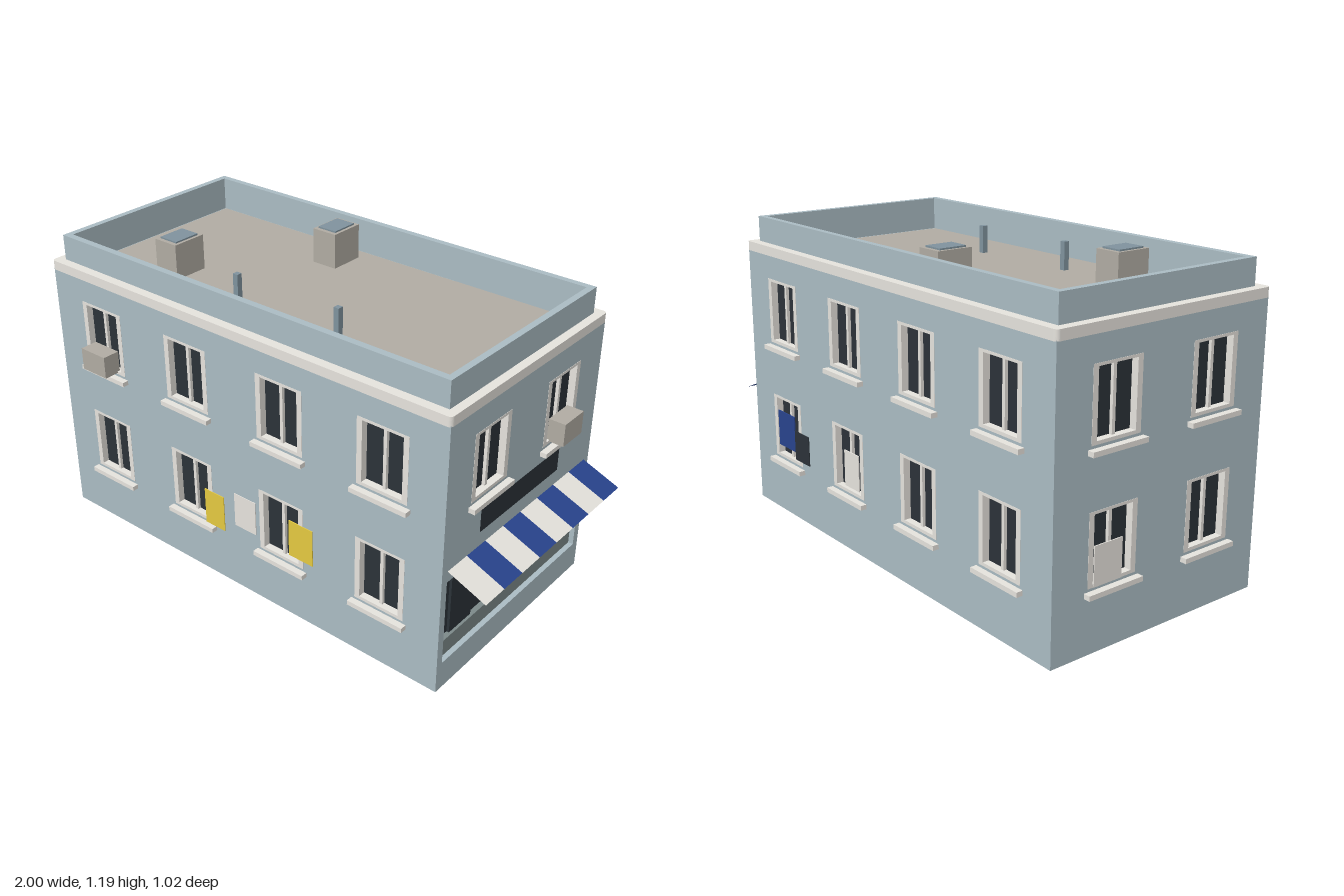
import * as THREE from 'three';

export function createModel() {
  const root = new THREE.Group();
  root.name = 'building';
  const mat = (name, color, side = THREE.FrontSide) => {
    const m = new THREE.MeshStandardMaterial({ color, side });
    m.name = name;
    return m;
  };
  const wall = mat('blue grey wall', 0xaabbc2);
  const cream = mat('cream trim', 0xe5e2dc, THREE.DoubleSide);
  const stone = mat('warm grey', 0xb0aba2);
  const glass = mat('dark glass', 0x2b3238);
  const blue = mat('awning blue', 0x28438c, THREE.DoubleSide);
  const yellow = mat('sign yellow', 0xe3c840);
  const slate = mat('vent slate', 0x7f929d);
  const plinth = mat('plinth grey', 0x7c8989);

  const add = (parent, name, geo, material) => {
    const m = new THREE.Mesh(geo, material);
    m.name = name;
    parent.add(m);
    return m;
  };
  // box given by its limits on each axis
  const box = (parent, name, material, x0, x1, y0, y1, z0, z1) => {
    const m = add(parent, name, new THREE.BoxGeometry(x1 - x0, y1 - y0, z1 - z0), material);
    m.position.set((x0 + x1) / 2, (y0 + y1) / 2, (z0 + z1) / 2);
    return m;
  };
  const rect = (Type, x0, x1, y0, y1, r = 0) => {
    const p = new Type();
    if (r === 0) {
      p.moveTo(x0, y0).lineTo(x1, y0).lineTo(x1, y1).lineTo(x0, y1).closePath();
    } else {
      p.absarc(x1 - r, y0 + r, r, -Math.PI / 2, 0);
      p.absarc(x1 - r, y1 - r, r, 0, Math.PI / 2);
      p.absarc(x0 + r, y1 - r, r, Math.PI / 2, Math.PI);
      p.absarc(x0 + r, y0 + r, r, Math.PI, Math.PI * 1.5);
    }
    return p;
  };
  const extrude = (shape, depth) =>
    new THREE.ExtrudeGeometry(shape, { depth, bevelEnabled: false, curveSegments: 4 });

  const X0 = -0.975, X1 = 0.85, Z0 = -0.482, Z1 = 0.448, T = 0.06, TOP = 1.05;
  const floors = [0.23, 0.70];
  const W = 0.207, H = 0.255;

  // recessed window with frame, mullion and sill, lower edge at y
  function addWindow(face, x, y) {
    const g = new THREE.Group();
    g.name = 'window';
    g.position.set(x, y, 0);
    face.add(g);
    const frame = rect(THREE.Shape, -W / 2, W / 2, 0, H);
    frame.holes.push(rect(THREE.Path, -0.082, 0.082, 0.012, H - 0.01));
    add(g, 'windowFrame', extrude(frame, 0.035), cream).position.z = -0.034;
    box(g, 'windowGlass', glass, -0.09, 0.09, 0.006, H - 0.006, -0.034, -0.026);
    box(g, 'windowMullion', cream, -0.0065, 0.0065, 0.01, H - 0.01, -0.027, -0.014);
    box(g, 'windowSill', cream, -0.117, 0.117, -0.028, -0.01, -0.01, 0.025);
  }

  // one outer wall; local x runs across it and local z points outwards
  function addFace(name, pos, rot, x0, x1, windows, opening) {
    const g = new THREE.Group();
    g.name = name;
    g.position.set(...pos);
    g.rotation.y = rot;
    root.add(g);
    const shape = rect(THREE.Shape, x0, x1, 0, TOP);
    for (const [x, y] of windows) {
      shape.holes.push(rect(THREE.Path, x - W / 2, x + W / 2, y, y + H));
      addWindow(g, x, y);
    }
    if (opening) shape.holes.push(rect(THREE.Path, ...opening));
    add(g, name + 'Panel', extrude(shape, T), wall).position.z = -T;
    return g;
  }
  const grid = (xs, ys) => xs.flatMap((x) => ys.map((y) => [x, y]));
  const long = [-0.724, -0.285, 0.159, 0.599];
  const short = [0.203, -0.231];
  const flip = (a) => a.map((v) => -v);

  const front = addFace('frontWall', [0, 0, Z1], 0, X0 + T, X1 - T, grid(long, floors));
  const back = addFace('backWall', [0, 0, Z0], Math.PI, -X1 + T, -X0 - T, grid(flip(long), floors));
  const left = addFace('shopWall', [X1, 0, 0], Math.PI / 2, -Z1, -Z0,
    grid(flip(short), [floors[1]]), [-0.418, 0.45, 0.11, 0.45]);
  const right = addFace('plainEndWall', [X0, 0, 0], -Math.PI / 2, Z0, Z1, grid(short, floors));

  // wall-mounted cooling units
  box(front, 'coolingUnit', stone, -0.787, -0.661, 0.705, 0.792, -0.01, 0.06);
  box(left, 'coolingUnit', stone, 0.17, 0.292, 0.705, 0.792, -0.01, 0.055);

  // thin sign plates
  const plate = (face, m, x0, x1, y0, y1, depth = 0.003) =>
    box(face, 'signPlate', m, x0, x1, y0, y1, depth - 0.004, depth);
  plate(front, yellow, -0.22, -0.123, 0.22, 0.37);
  plate(front, yellow, 0.197, 0.307, 0.265, 0.415);
  plate(front, cream, -0.067, 0.037, 0.275, 0.415);
  plate(back, blue, -0.67, -0.545, 0.28, 0.425);
  plate(back, glass, -0.545, -0.44, 0.25, 0.37);
  plate(back, cream, -0.18, -0.085, 0.255, 0.395);
  plate(right, cream, -0.31, -0.19, 0.23, 0.37);
  plate(left, glass, -0.24, 0.25, 0.55, 0.64, 0.0002);

  // shop front
  box(left, 'shopGlass', glass, -0.41, 0.437, 0.17, 0.45, -0.055, -0.04);
  box(left, 'shopDoor', glass, -0.34, -0.212, 0.175, 0.41, -0.042, -0.03);
  box(left, 'shopPlinth', plinth, -0.418, 0.45, 0.11, 0.175, -0.055, -0.02);
  for (const [a, b] of [[-0.418, -0.41], [0.437, 0.45]])
    box(left, 'shopJamb', wall, a, b, 0.175, 0.45, -0.055, -0.015);

  // striped awning, sloping outwards
  const step = 0.868 / 8;
  const slope = Math.atan2(0.06, 0.15);
  for (let i = 0; i < 8; i++) {
    const geo = new THREE.PlaneGeometry(step, Math.hypot(0.15, 0.06));
    geo.rotateX(-Math.PI / 2 + slope);
    add(left, 'awningStripe', geo, i % 2 ? blue : cream)
      .position.set(-0.418 + step * (i + 0.5), 0.465, 0.075);
  }

  // cornice and parapet rings, extruded upwards
  function ring(name, material, outer, inner, y0, y1, r) {
    const s = rect(THREE.Shape, ...outer, r);
    s.holes.push(rect(THREE.Path, ...inner));
    const geo = extrude(s, y1 - y0);
    geo.rotateX(-Math.PI / 2);
    add(root, name, geo, material).position.y = y0;
  }
  // limits are x0, x1, -z front, -z back
  ring('cornice', cream, [-0.979, 0.853, -0.452, 0.486], [-0.93, 0.805, -0.397, 0.433], 1.046, 1.082, 0.015);
  ring('parapet', wall, [-0.943, 0.82, -0.415, 0.448], [-0.918, 0.795, -0.388, 0.423], 1.045, 1.18, 0);

  // roof deck and ground floor slab
  box(root, 'roofDeck', stone, -0.93, 0.805, 1.0, 1.05, -0.433, 0.397);
  box(root, 'floorSlab', cream, X0 + T, X1 - T, 0.18, 0.2, Z0 + T, Z1 - T);

  // footings under the floor slab
  box(root, 'floorHatch', stone, 0.54, 0.64, 0.174, 0.185, 0.26, 0.385);
  for (const z of [0.29, 0.06, -0.15])
    box(root, 'floorFooting', slate, 0.38, 0.404, 0.174, 0.185, z - 0.012, z + 0.012);

  // roof vents and posts
  for (const [x, z] of [[-0.587, 0.158], [-0.205, -0.296]]) {
    box(root, 'roofVent', stone, x - 0.053, x + 0.053, 1.04, 1.186, z - 0.071, z + 0.071);
    box(root, 'roofVentLid', slate, x - 0.041, x + 0.041, 1.18, 1.192, z - 0.055, z + 0.055);
  }
  for (const [x, z] of [[-0.238, 0.214], [0.212, 0.198]])
    box(root, 'roofPost', slate, x - 0.011, x + 0.011, 1.04, 1.155, z - 0.011, z + 0.011);

  return root;
}
